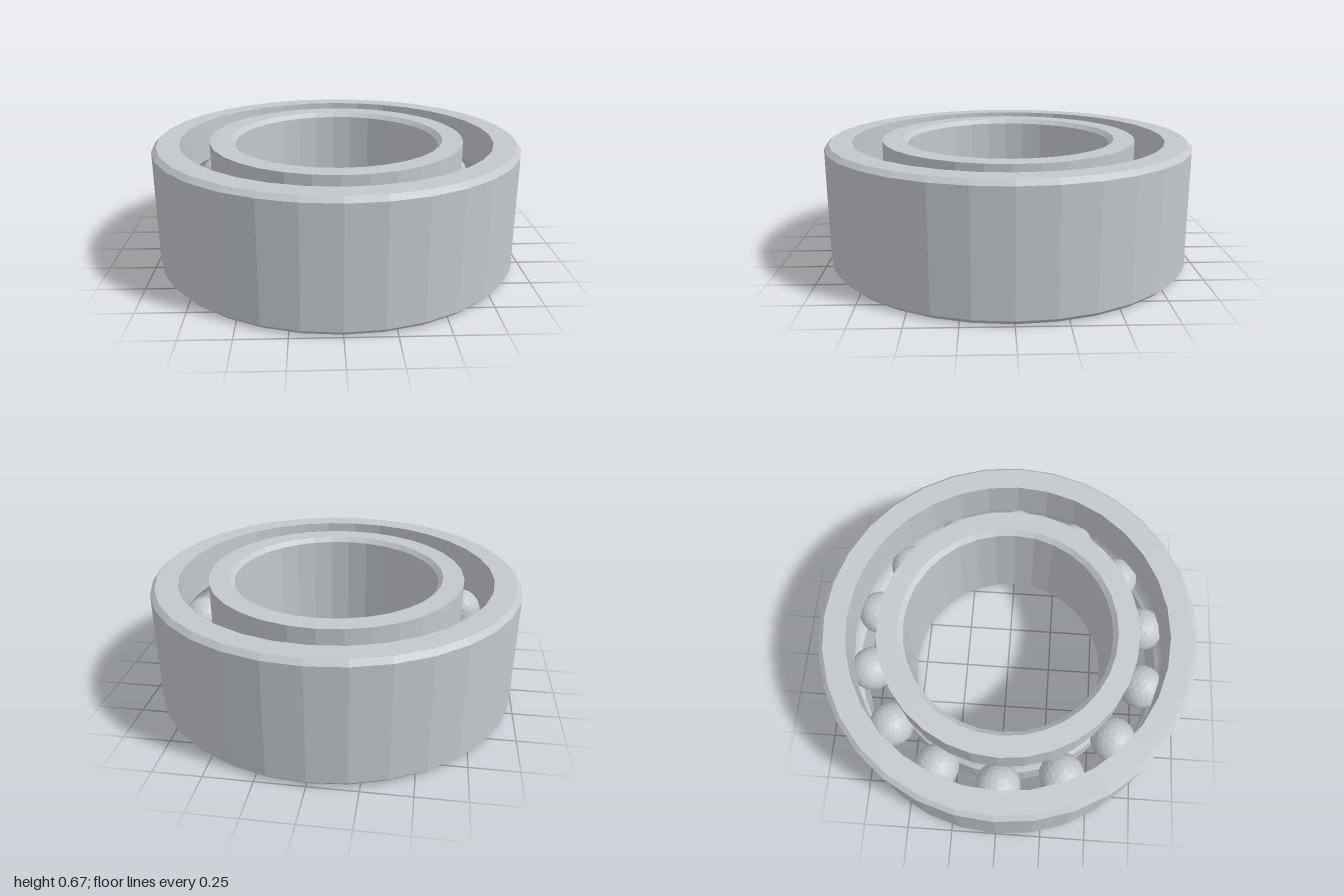
import * as THREE from 'three';

const H = 0.67;        // ring height
const CHAMFER = 0.025;
const PITCH = 0.775;   // radius of the ball circle
const BALL_R = 0.122;
const BALLS = 14;

// Arc of the ball groove in (radius, height), centred on the ball circle
function groove(land, fromTop) {
  const r = BALL_R + 0.004;
  const side = Math.sign(land - PITCH);
  const a = Math.acos(Math.abs(land - PITCH) / r);
  const points = [];
  for (let i = 0; i <= 8; i++) {
    const t = (fromTop ? 1 : -1) * (a - (2 * a * i) / 8);
    points.push(new THREE.Vector2(PITCH + side * r * Math.cos(t), H / 2 + r * Math.sin(t)));
  }
  return points;
}

// Closed cross-section, counter-clockwise, swept round the axis
function ring(name, profile, material) {
  const mesh = new THREE.Mesh(new THREE.LatheGeometry([...profile, profile[0].clone()], 32), material);
  mesh.name = name;
  return mesh;
}

export function createModel() {
  const group = new THREE.Group();
  group.name = 'ballBearing';
  const steel = new THREE.MeshStandardMaterial({ color: 0xc4c8cd });
  steel.name = 'steel';
  steel.flatShading = true;
  const v = (r, y) => new THREE.Vector2(r, y);

  // Outer ring: chamfered outside, grooved inside
  group.add(ring('outerRing', [
    v(1 - CHAMFER, 0), v(1, CHAMFER), v(1, H - CHAMFER), v(1 - CHAMFER, H),
    v(0.855, H), ...groove(0.855, true), v(0.855, 0),
  ], steel));

  // Inner ring: grooved outside, chamfered bore
  group.add(ring('innerRing', [
    v(0.695, 0), ...groove(0.695, false), v(0.695, H),
    v(0.583, H), v(0.558, H - CHAMFER), v(0.558, CHAMFER), v(0.583, 0),
  ], steel));

  // Balls evenly spaced between the rings
  const ballGeometry = new THREE.IcosahedronGeometry(BALL_R, 3);
  for (let i = 0; i < BALLS; i++) {
    const a = (i / BALLS) * Math.PI * 2;
    const ball = new THREE.Mesh(ballGeometry, steel);
    ball.name = `ball${i + 1}`;
    ball.position.set(PITCH * Math.cos(a), H / 2, PITCH * Math.sin(a));
    ball.rotation.y = -a;
    group.add(ball);
  }
  return group;
}
